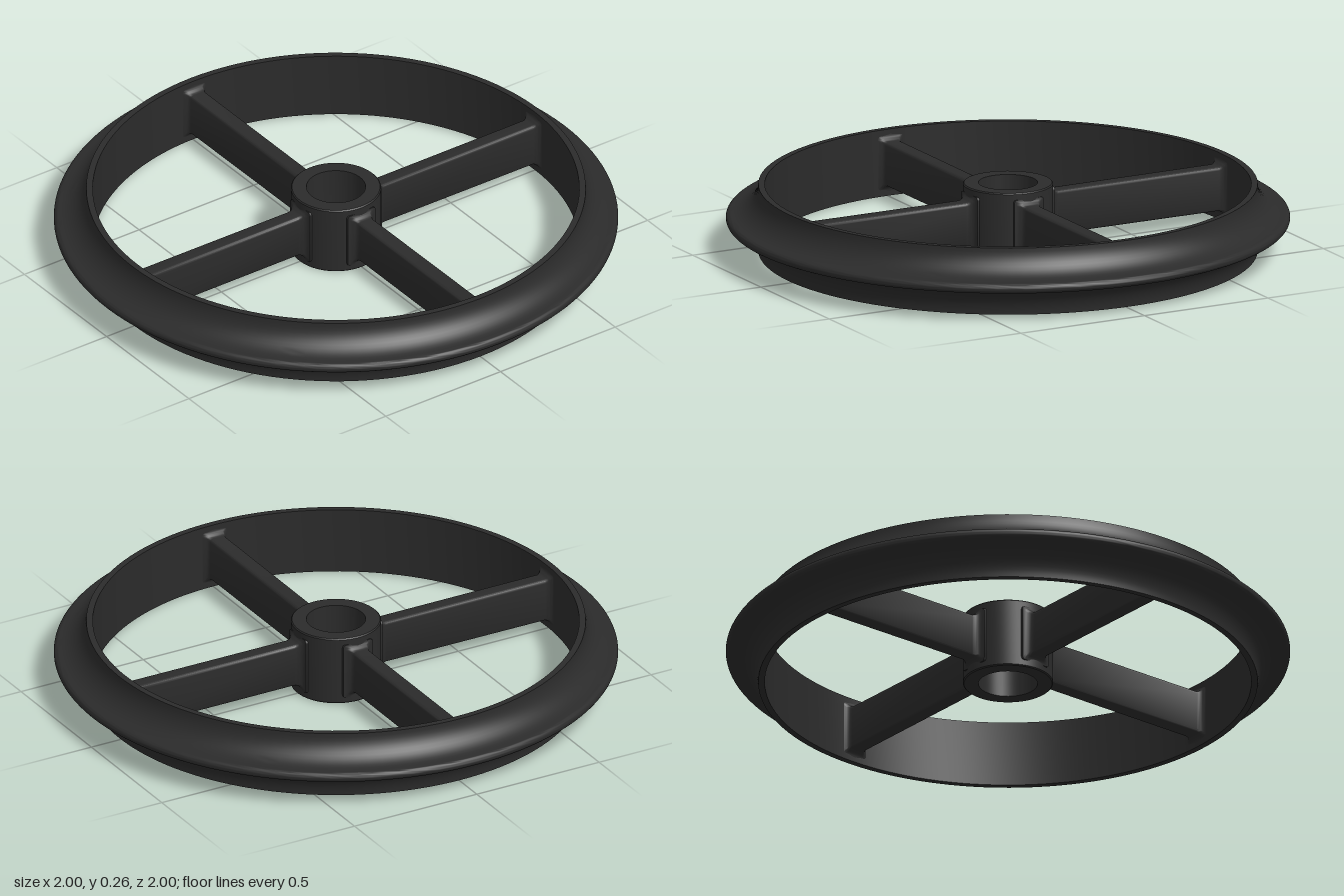
import * as THREE from 'three';
import { toCreasedNormals } from 'three/addons/utils/BufferGeometryUtils.js';

const MID = 0.128; // mid height of the wheel
const HUB_R = 0.16, BORE_R = 0.105, RIM_IN = 0.862;

// Closed ring turned from a counterclockwise (radius, height) profile
function ring(points, segments) {
  const pts = [...points, points[0]].map(([r, y]) => new THREE.Vector2(r, y + MID));
  return toCreasedNormals(new THREE.LatheGeometry(pts, segments), 0.6);
}

// Spoke along +x: a rounded bar whose ends flare into the hub and the rim
function spokeGeometry() {
  const w = 0.03, h = 0.08, c = 0.012, fillet = 0.03, steps = 16;
  const s = new THREE.Shape();
  s.moveTo(-w + c, -h);
  s.lineTo(w - c, -h);
  s.quadraticCurveTo(w, -h, w, -h + c);
  s.lineTo(w, h - c);
  s.quadraticCurveTo(w, h, w - c, h);
  s.lineTo(-w + c, h);
  s.quadraticCurveTo(-w, h, -w, h - c);
  s.lineTo(-w, -h + c);
  s.quadraticCurveTo(-w, -h, -w + c, -h);
  const g = new THREE.ExtrudeGeometry(s, { depth: 1, steps, bevelEnabled: false, curveSegments: 4 });
  const p = g.attributes.position;
  const half = steps / 2 - 1;
  for (let i = 0; i < p.count; i++) {
    const k = Math.round(p.getZ(i) * steps);
    const e = Math.min(k, steps - k); // step count from the nearer end
    // the first step is buried in the wall, the rest follow a quarter circle
    const d = e === 0 ? 0 : fillet * (1 - Math.cos(((e - 1) / half) * Math.PI / 2));
    const flare = fillet - Math.sqrt(Math.max(0, fillet ** 2 - (fillet - d) ** 2));
    const bury = e === 0 ? 0.014 : 0;
    const along = k <= steps / 2 ? HUB_R - 0.003 + d - bury : RIM_IN - d + bury * 0.6;
    p.setXYZ(i,
      p.getX(i) + Math.sign(p.getX(i)) * flare,
      p.getY(i) + Math.sign(p.getY(i)) * flare * 0.8 + MID,
      along);
  }
  g.rotateY(Math.PI / 2);
  return toCreasedNormals(g, 0.6);
}

export function createModel() {
  const group = new THREE.Group();
  group.name = 'spokedWheel';
  const black = new THREE.MeshStandardMaterial({ color: 0x2b2b2b });
  black.name = 'matteBlack';

  const add = (name, geometry) => {
    const mesh = new THREE.Mesh(geometry, black);
    mesh.name = name;
    group.add(mesh);
    return mesh;
  };

  // Rim: flat inside, hollow coves outside that meet in a rounded lip
  const upper = [];
  for (let i = 0; i <= 6; i++) { // lip
    const a = (i / 6) * Math.PI / 2;
    upper.push([0.983 + 0.017 * Math.cos(a), 0.018 * Math.sin(a)]);
  }
  for (let i = 1; i <= 12; i++) { // cove
    const a = (i / 12) * Math.PI / 2;
    upper.push([0.983 - 0.098 * Math.sin(a), 0.122 - 0.104 * Math.cos(a)]);
  }
  const lower = upper.slice(1).reverse().map(([r, y]) => [r, -y]);
  add('rim', ring([[RIM_IN, -0.122], ...lower, ...upper, [RIM_IN, 0.122]], 128));

  // Hub with a through bore
  add('hub', ring([
    [BORE_R, -0.128], [HUB_R - 0.004, -0.128], [HUB_R, -0.124],
    [HUB_R, 0.124], [HUB_R - 0.004, 0.128], [BORE_R, 0.128],
  ], 64));

  // Four spokes
  const spoke = spokeGeometry();
  for (let i = 0; i < 4; i++) add('spoke' + (i + 1), spoke).rotation.y = i * Math.PI / 2;

  return group;
}
